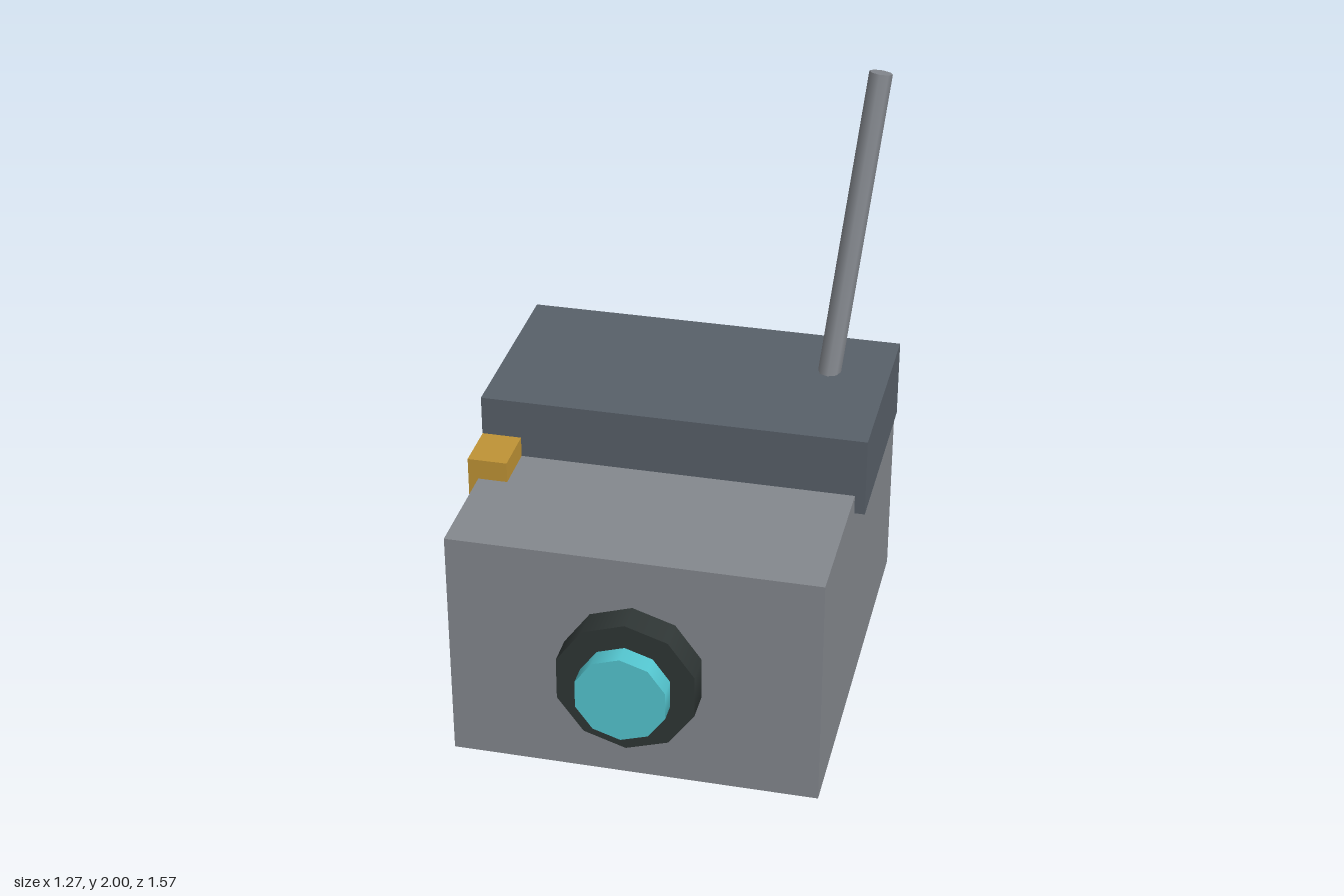
import * as THREE from 'three';

const material = (name, color) => {
  const m = new THREE.MeshStandardMaterial({ color });
  m.name = name;
  return m;
};

export function createModel() {
  const grey = material('grey casing', 0x84888e);
  const slate = material('slate lid', 0x586069);
  const black = material('black rim', 0x2f3635);
  const cyan = material('cyan lens', 0x54c6d0);
  const amber = material('amber clip', 0xbf9335);

  const model = new THREE.Group();
  model.name = 'boxDevice';

  const add = (name, geometry, mat) => {
    const mesh = new THREE.Mesh(geometry, mat);
    mesh.name = name;
    model.add(mesh);
    return mesh;
  };

  // Box given by its lower and upper corners
  const box = (name, mat, [x0, y0, z0], [x1, y1, z1]) =>
    add(name, new THREE.BoxGeometry(x1 - x0, y1 - y0, z1 - z0), mat)
      .position.set((x0 + x1) / 2, (y0 + y1) / 2, (z0 + z1) / 2);

  // Ten-sided drum facing forward, with a corner at the top
  const drum = (name, mat, radius, z0, z1) => {
    const mesh = add(name, new THREE.CylinderGeometry(radius, radius, z1 - z0, 10), mat);
    mesh.rotation.x = Math.PI / 2;
    mesh.position.set(0, 0.404, (z0 + z1) / 2);
  };

  // Casing, overhanging lid and the clip on the right edge
  box('body', grey, [-0.6, 0, -0.785], [0.6, 0.803, 0.617]);
  box('lid', slate, [-0.634, 0.738, -0.588], [0.634, 1.005, 0.082]);
  box('sideClip', amber, [-0.633, 0.47, -0.08], [-0.503, 0.872, 0.25]);

  // Front eye
  drum('lensRim', black, 0.232, 0.55, 0.718);
  drum('lens', cyan, 0.151, 0.65, 0.785);

  // Antenna leaning out and back
  const base = new THREE.Vector3(0.43, 0.95, -0.338);
  const tip = new THREE.Vector3(0.536, 1.99, -0.549);
  const axis = tip.clone().sub(base);
  const antenna = add('antenna', new THREE.CylinderGeometry(0.038, 0.038, axis.length(), 8), grey);
  antenna.position.copy(base).add(tip).multiplyScalar(0.5);
  antenna.quaternion.setFromUnitVectors(new THREE.Vector3(0, 1, 0), axis.normalize());

  return model;
}
